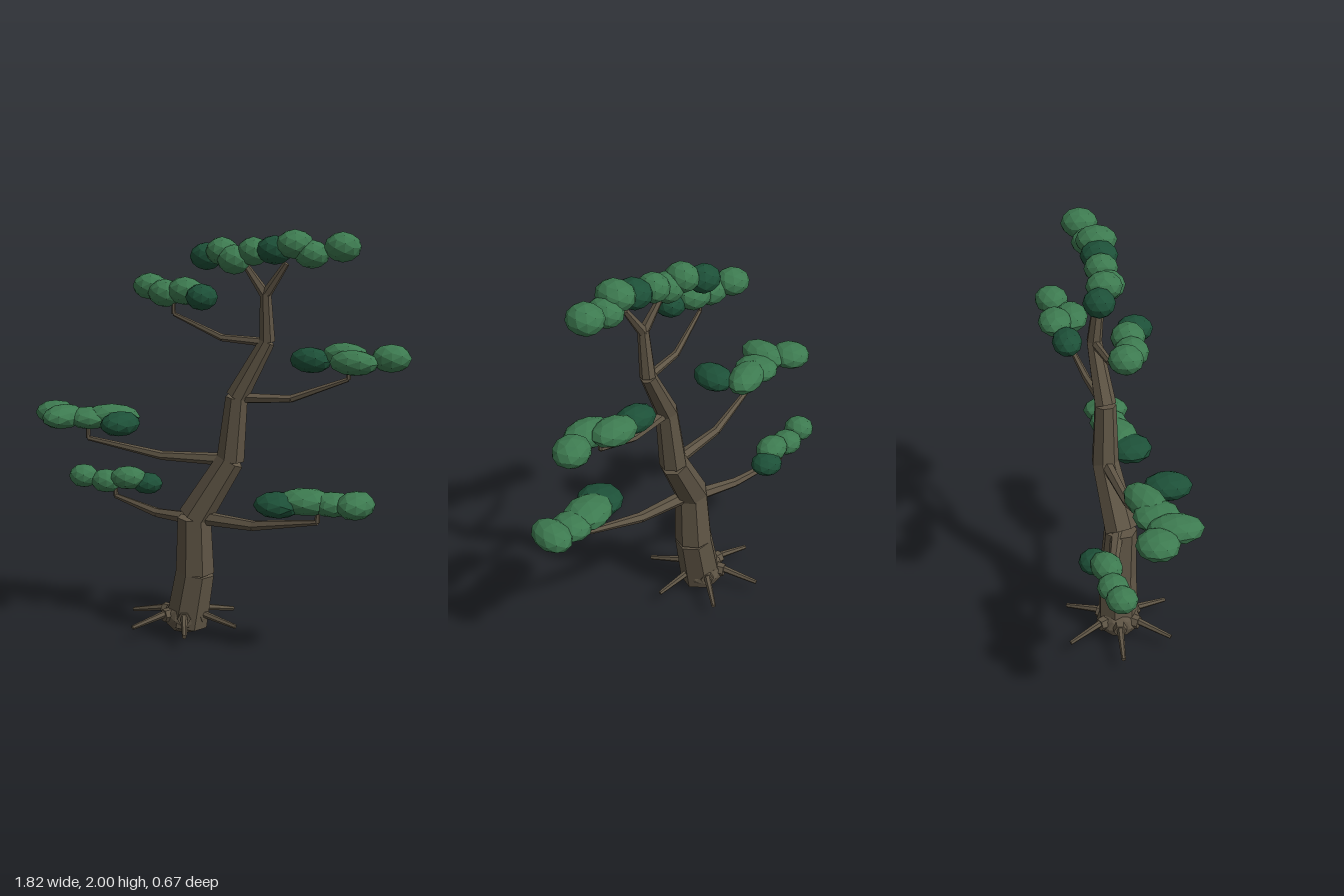
import * as THREE from 'three';

const bark = new THREE.MeshStandardMaterial({ color: 0x5f5545, flatShading: true });
bark.name = 'bark brown';
const leaf = new THREE.MeshStandardMaterial({ color: 0x3d7a50, flatShading: true });
leaf.name = 'leaf green';
const darkLeaf = new THREE.MeshStandardMaterial({ color: 0x1d5038, flatShading: true });
darkLeaf.name = 'dark leaf green';

// Tapered limb between two points
function limb(name, a, b, r0, r1, sides) {
  const p = new THREE.Vector3(...a), q = new THREE.Vector3(...b);
  const dir = q.clone().sub(p);
  const mesh = new THREE.Mesh(new THREE.CylinderGeometry(r1, r0, dir.length(), sides), bark);
  mesh.name = name;
  mesh.position.copy(p).add(q).multiplyScalar(0.5);
  mesh.quaternion.setFromUnitVectors(new THREE.Vector3(0, 1, 0), dir.normalize());
  return mesh;
}

// Chain of limbs through points [x, y, z, radius]
function chain(name, points, sides) {
  const group = new THREE.Group();
  group.name = name;
  for (let i = 0; i < points.length - 1; i++) {
    const a = points[i], b = points[i + 1];
    group.add(limb(name + 'Segment', a.slice(0, 3), b.slice(0, 3), a[3], b[3], sides));
  }
  return group;
}

// Faceted leaf pads: [x, y, z, rx, ry, rz, turn]; one index list marks the dark pads
function foliage(name, pads, dark) {
  const group = new THREE.Group();
  group.name = name;
  pads.forEach(([x, y, z, rx, ry, rz, turn = 0], i) => {
    const pad = new THREE.Mesh(new THREE.IcosahedronGeometry(1, 1), dark.includes(i) ? darkLeaf : leaf);
    pad.name = 'leafPad';
    pad.position.set(x, y, z);
    pad.scale.set(rx, ry, rz);
    pad.rotation.y = turn;
    group.add(pad);
  });
  return group;
}

export function createModel() {
  const tree = new THREE.Group();
  tree.name = 'bonsaiTree';

  // Bent trunk and its fork
  tree.add(chain('trunk', [
    [-0.135, 0.05, 0, 0.105], [-0.085, 0.32, 0, 0.096], [-0.08, 0.6, 0.015, 0.083],
    [0.085, 0.89, -0.045, 0.068], [0.12, 1.2, -0.04, 0.054],
    [0.26, 1.47, -0.08, 0.038], [0.262, 1.7, -0.055, 0.027],
  ], 7));
  tree.add(limb('leftFork', [0.262, 1.69, -0.055], [0.365, 1.84, -0.06], 0.026, 0.015, 6));
  tree.add(limb('rightFork', [0.262, 1.69, -0.055], [0.155, 1.83, -0.05], 0.026, 0.015, 6));

  // Swollen foot with six thin roots
  const foot = new THREE.Mesh(new THREE.IcosahedronGeometry(0.11, 1), bark);
  foot.name = 'trunkFoot';
  foot.position.set(-0.14, 0.085, 0);
  foot.scale.y = 0.77;
  tree.add(foot);
  for (let i = 0; i < 6; i++) {
    const c = Math.cos(i * Math.PI / 3), s = Math.sin(i * Math.PI / 3);
    const at = (d, y) => [-0.15 + c * d, y, s * d];
    tree.add(limb('rootKnob', at(0.04, 0.1), at(0.115, 0.1), 0.04, 0.033, 6));
    tree.add(limb('root', at(0.08, 0.115), at(0.29, 0.07), 0.019, 0.011, 6));
  }

  // Branches with an upright twig at the tip
  const branches = {
    lowerRightBranch: [[-0.08, 0.585, 0.0, 0.034], [-0.32, 0.578, -0.04, 0.024], [-0.59, 0.625, -0.08, 0.013], [-0.59, 0.7, -0.08, 0.01]],
    lowerLeftBranch: [[-0.08, 0.6, 0.01, 0.037], [0.24, 0.597, 0.02, 0.026], [0.585, 0.66, 0.04, 0.013], [0.585, 0.74, 0.04, 0.01]],
    middleRightBranch: [[0.07, 0.89, -0.04, 0.032], [-0.25, 0.89, 0.03, 0.022], [-0.6, 0.965, 0.15, 0.012], [-0.6, 1.05, 0.15, 0.01]],
    middleLeftBranch: [[0.12, 1.195, -0.04, 0.027], [0.37, 1.2, -0.11, 0.019], [0.625, 1.3, -0.2, 0.011], [0.625, 1.39, -0.2, 0.009]],
    upperRightBranch: [[0.26, 1.465, -0.08, 0.022], [0.05, 1.48, -0.025, 0.017], [-0.165, 1.59, 0.06, 0.01], [-0.165, 1.68, 0.06, 0.008]],
  };
  for (const [name, points] of Object.entries(branches)) tree.add(chain(name, points, 6));

  // Foliage clouds
  tree.add(foliage('lowerRightFoliage', [
    [-0.755, 0.72, -0.04, 0.075, 0.06, 0.075], [-0.64, 0.7, -0.07, 0.08, 0.06, 0.075],
    [-0.52, 0.725, -0.09, 0.095, 0.06, 0.075, 0.3], [-0.44, 0.695, -0.14, 0.08, 0.055, 0.075],
  ], [3]));
  tree.add(foliage('lowerLeftFoliage', [
    [0.415, 0.74, 0.11, 0.115, 0.06, 0.115], [0.53, 0.755, 0.05, 0.14, 0.063, 0.11, 0.3],
    [0.65, 0.75, 0.02, 0.1, 0.058, 0.1], [0.765, 0.757, 0.015, 0.085, 0.066, 0.12],
  ], [0]));
  tree.add(foliage('middleRightFoliage', [
    [-0.815, 1.068, 0.11, 0.1, 0.06, 0.1], [-0.71, 1.07, 0.2, 0.09, 0.06, 0.13],
    [-0.6, 1.062, 0.13, 0.11, 0.055, 0.11], [-0.5, 1.07, 0.09, 0.14, 0.064, 0.085, 0.45],
    [-0.38, 1.065, 0.205, 0.088, 0.06, 0.115],
  ], [4]));
  tree.add(foliage('middleLeftFoliage', [
    [0.43, 1.377, -0.2, 0.105, 0.062, 0.075], [0.585, 1.405, -0.25, 0.115, 0.06, 0.085],
    [0.665, 1.385, -0.165, 0.12, 0.06, 0.085], [0.815, 1.405, -0.255, 0.095, 0.067, 0.085, 0.4],
  ], [0]));
  tree.add(foliage('upperRightFoliage', [
    [-0.32, 1.71, 0.015, 0.085, 0.064, 0.08], [-0.215, 1.685, 0.05, 0.085, 0.067, 0.08],
    [-0.11, 1.7, 0.045, 0.09, 0.067, 0.08], [0, 1.68, 0.085, 0.073, 0.063, 0.085],
  ], [3]));
  tree.add(foliage('crownFoliage', [
    [-0.065, 1.855, -0.08, 0.08, 0.066, 0.075], [0.035, 1.885, -0.05, 0.075, 0.068, 0.085],
    [0.11, 1.85, -0.03, 0.08, 0.07, 0.085], [0.2, 1.89, -0.05, 0.075, 0.068, 0.08],
    [0.31, 1.9, -0.05, 0.085, 0.068, 0.09], [0.41, 1.93, -0.055, 0.085, 0.068, 0.1],
    [0.485, 1.885, -0.08, 0.08, 0.066, 0.09], [0.62, 1.92, -0.12, 0.085, 0.07, 0.09],
  ], [0, 4]));

  return tree;
}
